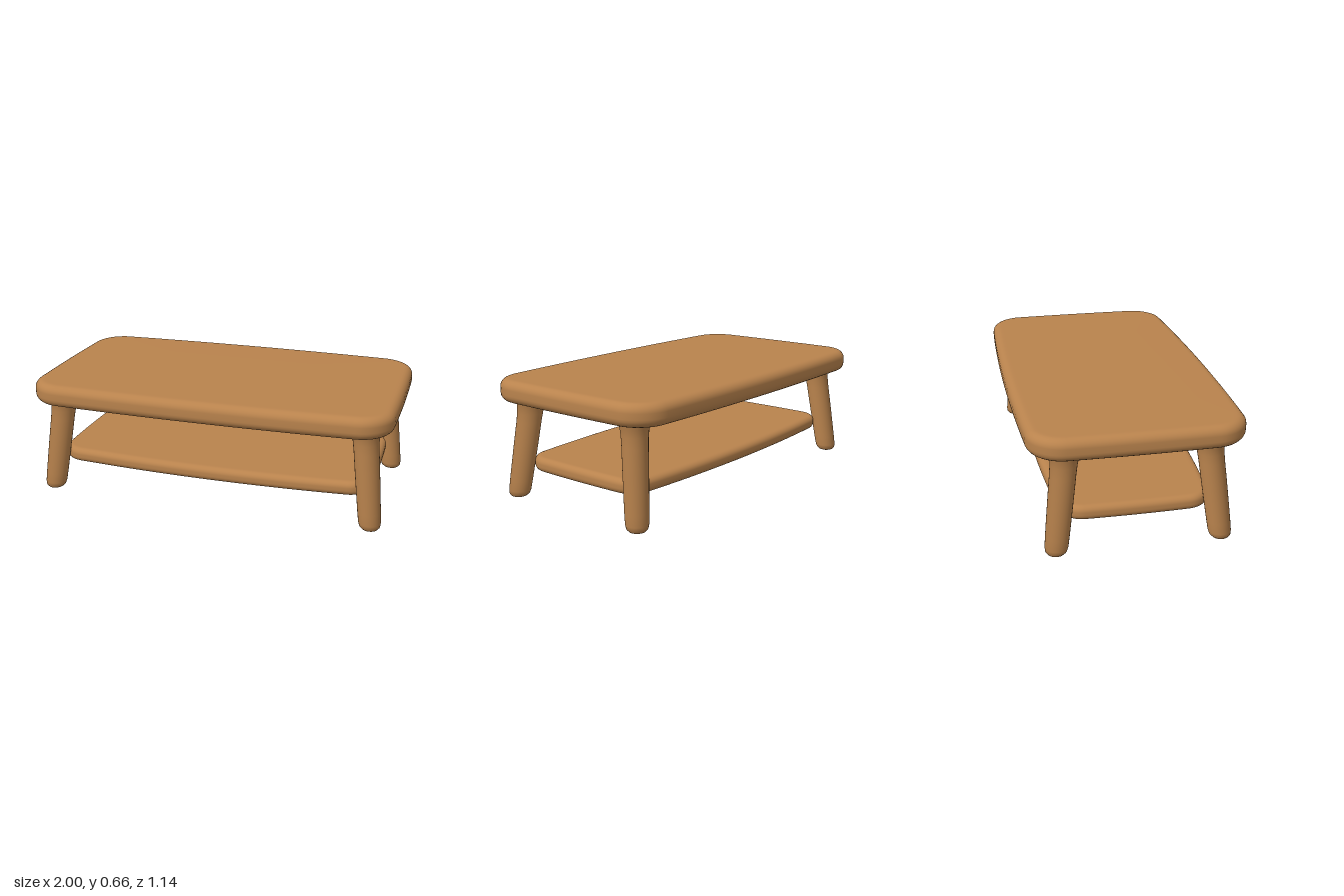
import * as THREE from 'three';

// Points round a rounded rectangle whose long and short sides bow gently outward
function outline(hx, hz, r, bowX, bowZ) {
  const pts = [];
  const corners = [[1, 1], [-1, 1], [-1, -1], [1, -1]];
  const arcSteps = 10, sideSteps = 14;
  corners.forEach(([sx, sz], k) => {
    for (let i = 0; i <= arcSteps; i++) {
      const a = (k + i / arcSteps) * Math.PI / 2;
      pts.push([sx * (hx - r) + r * Math.cos(a), sz * (hz - r) + r * Math.sin(a)]);
    }
    // straight run to the next corner
    const [x0, z0] = pts[pts.length - 1];
    const [nx, nz] = corners[(k + 1) % 4];
    const a1 = (k + 1) * Math.PI / 2;
    const x1 = nx * (hx - r) + r * Math.cos(a1), z1 = nz * (hz - r) + r * Math.sin(a1);
    for (let i = 1; i < sideSteps; i++) {
      const t = i / sideSteps;
      pts.push([x0 + (x1 - x0) * t, z0 + (z1 - z0) * t]);
    }
  });
  // drop the repeated start of each arc is not needed: runs stop short of it
  return pts.map(([x, z]) => [
    x * (1 + bowX * (1 - (z / hz) ** 2)),
    z * (1 + bowZ * (1 - (x / hx) ** 2)),
  ]);
}

// Soft-edged board lofted from inset outlines
function slab({ hx, hz, corner, bowX, bowZ, y0, y1, edge, dome }) {
  const half = [];
  for (let i = 0; i <= 6; i++) {
    const a = (i / 6) * Math.PI / 2;
    half.push([edge * (1 - Math.cos(a)), edge * (1 - Math.sin(a))]);
  }
  half.push([edge * 1.3, 0]);
  const rings = [
    ...half.slice().reverse().map(([inset, d]) => [inset, y0 + d]),
    ...half.map(([inset, d]) => [inset, y1 - d]),
  ];
  const pos = [], index = [];
  let n = 0;
  for (const [inset, y] of rings) {
    const pts = outline(hx - inset, hz - inset, corner - inset, bowX, bowZ);
    n = pts.length;
    for (const [x, z] of pts) pos.push(x, y, z);
  }
  const bottom = pos.length / 3, top = bottom + 1;
  pos.push(0, y0, 0, 0, y1 + dome, 0);
  const last = (rings.length - 1) * n;
  for (let j = 0; j < n; j++) {
    const k = (j + 1) % n;
    for (let i = 0; i < rings.length - 1; i++) {
      const a = i * n + j, b = i * n + k;
      index.push(a, a + n, b, b, a + n, b + n);
    }
    index.push(bottom, j, k, last + j, top, last + k);
  }
  const geo = new THREE.BufferGeometry();
  geo.setAttribute('position', new THREE.Float32BufferAttribute(pos, 3));
  geo.setIndex(index);
  geo.computeVertexNormals();
  return geo;
}

// Round leg with a soft foot and a flared top, leaning by a shear
function legGeometry(sx, sz) {
  const profile = [
    [0, 0.005], [0.025, 0.006], [0.042, 0.012], [0.054, 0.024], [0.059, 0.045],
    [0.061, 0.1], [0.063, 0.2], [0.065, 0.32], [0.066, 0.42], [0.068, 0.47],
    [0.073, 0.51], [0.082, 0.535], [0.084, 0.56],
  ].map(([r, y]) => new THREE.Vector2(r, y));
  const geo = new THREE.LatheGeometry(profile, 28);
  const p = geo.attributes.position;
  for (let i = 0; i < p.count; i++) {
    const y = p.getY(i);
    p.setX(i, p.getX(i) + sx * (0.908 - 0.115 * y));
    p.setZ(i, p.getZ(i) + sz * (0.425 - 0.12 * y));
  }
  return geo;
}

export function createModel() {
  const group = new THREE.Group();
  const wood = new THREE.MeshStandardMaterial({ color: 0xb9834d });
  wood.name = 'wood';

  const add = (name, geo) => {
    const mesh = new THREE.Mesh(geo, wood);
    mesh.name = name;
    group.add(mesh);
  };

  add('tableTop', slab({
    hx: 0.99, hz: 0.54, corner: 0.17, bowX: 0.01, bowZ: 0.055,
    y0: 0.535, y1: 0.655, edge: 0.045, dome: 0.005,
  }));
  add('shelf', slab({
    hx: 0.88, hz: 0.38, corner: 0.11, bowX: 0.01, bowZ: 0.12,
    y0: 0.158, y1: 0.237, edge: 0.032, dome: 0.002,
  }));

  for (const [name, sx, sz] of [
    ['frontLeftLeg', 1, 1], ['frontRightLeg', -1, 1],
    ['backLeftLeg', 1, -1], ['backRightLeg', -1, -1],
  ]) add(name, legGeometry(sx, sz));

  return group;
}
